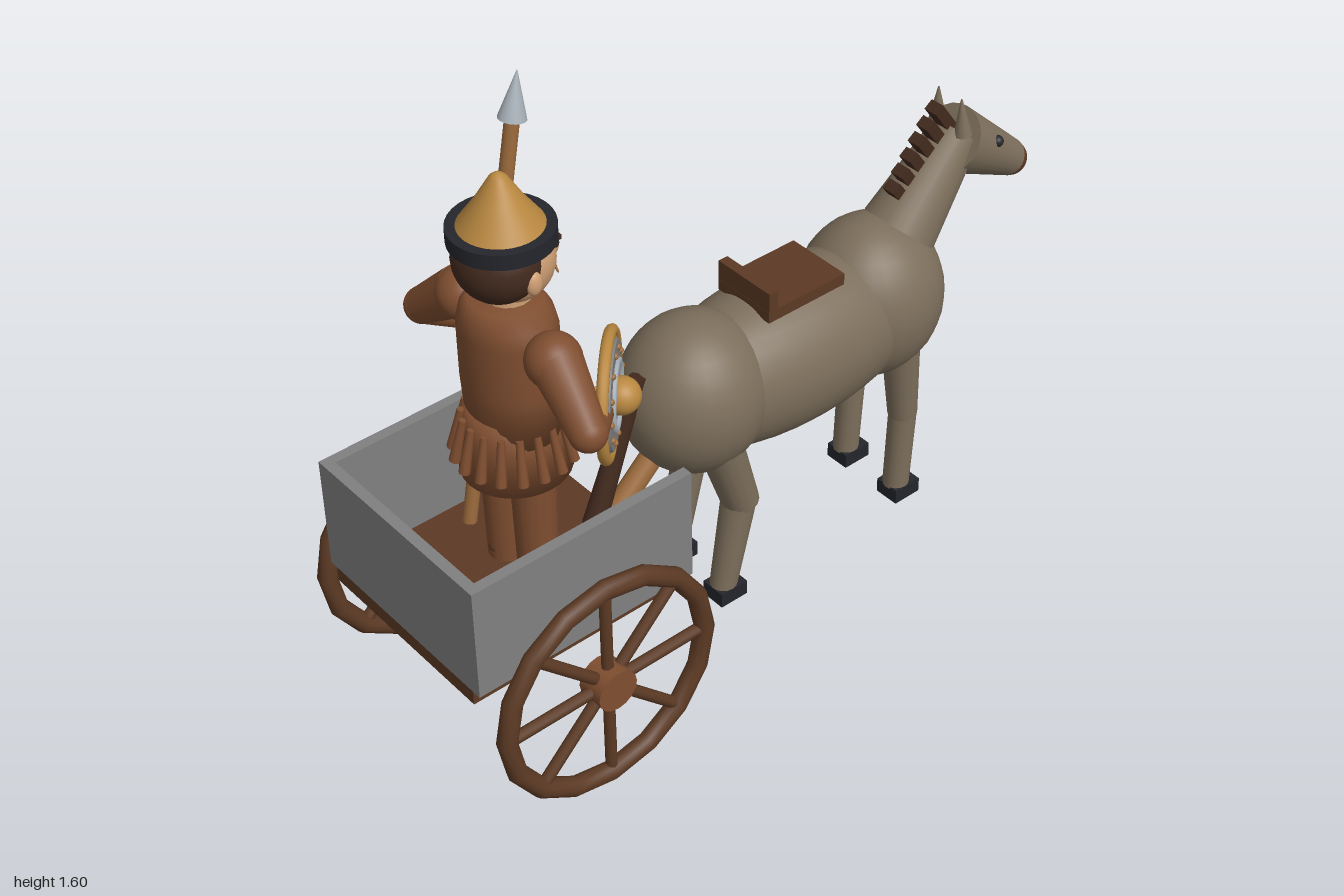
import * as THREE from 'three';

const mat = (name, color) => Object.assign(new THREE.MeshStandardMaterial({ color }), { name });
const M = {
  hide: mat('horse hide', 0x7c6e5b), wood: mat('dark wood', 0x5c3a24), tunic: mat('tunic brown', 0x7f4e30),
  grey: mat('cart grey', 0x808080), dark: mat('near black', 0x25262c), gold: mat('brass', 0xb98840),
  skin: mat('skin', 0xcf9f74), steel: mat('steel', 0xa9b2ba), pole: mat('pole wood', 0x9a6a3c),
  hair: mat('hair', 0x422a1e),
};
const V = (x, y, z) => new THREE.Vector3(x, y, z);

function add(parent, name, geo, m, x = 0, y = 0, z = 0) {
  const mesh = new THREE.Mesh(geo, m);
  mesh.name = name;
  mesh.position.set(x, y, z);
  parent.add(mesh);
  return mesh;
}
const box = (p, name, m, w, h, d, x, y, z) => add(p, name, new THREE.BoxGeometry(w, h, d), m, x, y, z);
function ball(p, name, m, x, y, z, rx, ry = rx, rz = rx) {
  const b = add(p, name, new THREE.SphereGeometry(1, 28, 18), m, x, y, z);
  b.scale.set(rx, ry, rz);
  return b;
}
// tapered rod from point a to point b
function rod(p, name, m, a, b, ra, rb = ra, sides = 16) {
  const d = b.clone().sub(a);
  const r = add(p, name, new THREE.CylinderGeometry(rb, ra, d.length(), sides), m);
  r.position.copy(a).addScaledVector(d, 0.5);
  r.quaternion.setFromUnitVectors(V(0, 1, 0), d.normalize());
  return r;
}
const lathe = (pts, n = 32) => new THREE.LatheGeometry(pts.map(([r, y]) => new THREE.Vector2(r, y)), n);
function group(parent, name) {
  const g = new THREE.Group();
  g.name = name;
  parent.add(g);
  return g;
}

function buildCart(root) {
  const g = group(root, 'cart');
  box(g, 'floor', M.wood, 0.62, 0.04, 0.54, -0.685, 0.41, 0);
  box(g, 'backWall', M.grey, 0.028, 0.31, 0.54, -0.981, 0.585, 0);
  for (const s of [1, -1]) {
    box(g, 'sideWall', M.grey, 0.62, 0.31, 0.028, -0.685, 0.585, s * 0.281);
    // wheel with eight spokes
    const w = group(g, 'wheel');
    w.position.set(-0.685, 0.323, s * 0.36);
    add(w, 'rim', new THREE.TorusGeometry(0.29, 0.025, 10, 16), M.wood);
    rod(w, 'hub', M.tunic, V(0, 0, -0.037), V(0, 0, 0.037), 0.055);
    for (let i = 0; i < 8; i++) {
      const a = i * Math.PI / 4, c = Math.cos(a), n = Math.sin(a);
      rod(w, 'spoke', M.wood, V(c * 0.04, n * 0.04, 0), V(c * 0.285, n * 0.285, 0), 0.015, 0.015, 10);
    }
  }
  rod(g, 'drawPole', M.pole, V(-0.4, 0.4, 0), V(-0.12, 0.66, 0), 0.03);
}

function buildHorse(root) {
  const g = group(root, 'horse');
  ball(g, 'rump', M.hide, -0.12, 0.672, 0, 0.195, 0.213, 0.185);
  ball(g, 'barrel', M.hide, 0.18, 0.662, 0, 0.46, 0.21, 0.19);
  ball(g, 'chest', M.hide, 0.462, 0.682, 0, 0.2, 0.223, 0.185);
  rod(g, 'neck', M.hide, V(0.56, 0.836, 0), V(0.75, 1.05, 0), 0.1, 0.065, 24);
  rod(g, 'head', M.hide, V(0.73, 1.035, 0), V(0.95, 0.885, 0), 0.09, 0.05, 24);
  ball(g, 'muzzle', M.wood, 0.953, 0.882, 0, 0.047);
  // mane tufts standing along the neck
  for (let i = 0; i < 6; i++) {
    const t = i / 5;
    const b = box(g, 'maneTuft', M.hair, 0.03, 0.095, 0.04, 0.555 + t * 0.135, 0.94 + t * 0.175, 0);
    b.rotation.z = 0.62;
  }
  rod(g, 'tail', M.hair, V(-0.29, 0.8, 0), V(-0.457, 0.37, 0), 0.02, 0.031);
  ball(g, 'tailEnd', M.hair, -0.457, 0.37, 0, 0.031);
  // saddle
  box(g, 'saddle', M.wood, 0.245, 0.032, 0.185, 0.163, 0.861, 0);
  box(g, 'saddleBack', M.wood, 0.028, 0.085, 0.185, 0.055, 0.888, 0);
  for (const s of [1, -1]) {
    const z = s * 0.097;
    ball(g, 'horseEye', M.dark, 0.84, 1.007, s * 0.058, 0.016);
    rod(g, 'ear', M.hide, V(0.725, 1.07, s * 0.045), V(0.718, 1.172, s * 0.04), 0.024, 0.002);
    // front leg
    rod(g, 'frontUpperLeg', M.hide, V(0.485, 0.6, z), V(0.507, 0.33, z), 0.052, 0.039);
    rod(g, 'frontLowerLeg', M.hide, V(0.508, 0.33, z), V(0.495, 0.095, z), 0.037, 0.035);
    // hind leg
    rod(g, 'hindUpperLeg', M.hide, V(-0.125, 0.58, z), V(-0.052, 0.345, z), 0.058, 0.048);
    rod(g, 'hindLowerLeg', M.hide, V(-0.06, 0.345, z), V(-0.11, 0.095, z), 0.045, 0.035);
    for (const x of [0.505, -0.103]) box(g, 'hoof', M.dark, 0.084, 0.042, 0.072, x, 0.081, z);
  }
}

function buildShield(root) {
  const g = group(root, 'shield');
  g.position.set(-0.525, 0.987, 0.195);
  g.rotation.y = Math.PI / 4;
  rod(g, 'shieldBack', M.gold, V(0, 0, -0.012), V(0, 0, 0.008), 0.15, 0.15, 36);
  add(g, 'shieldRim', new THREE.TorusGeometry(0.145, 0.014, 10, 36), M.gold);
  rod(g, 'shieldFace', M.grey, V(0, 0, 0.008), V(0, 0, 0.016), 0.13, 0.125, 36);
  add(g, 'innerRing', new THREE.TorusGeometry(0.078, 0.009, 8, 32), M.steel, 0, 0, 0.016);
  ball(g, 'boss', M.gold, 0, 0, 0.028, 0.045);
  for (let i = 0; i < 12; i++) {
    const a = i * Math.PI / 6;
    ball(g, 'rivet', M.pole, Math.cos(a) * 0.108, Math.sin(a) * 0.108, 0.016, 0.008);
  }
}

function buildDriver(root) {
  const g = group(root, 'driver'), X = -0.65;
  const torso = add(g, 'torso', lathe([[0.001, 0.86], [0.12, 0.86], [0.128, 1.0], [0.128, 1.14],
    [0.118, 1.18], [0.095, 1.212], [0.001, 1.215]]), M.tunic, X);
  torso.scale.x = 0.84;
  add(g, 'skirt', lathe([[0.001, 0.74], [0.132, 0.74], [0.118, 0.85], [0.108, 0.92], [0.001, 0.92]]), M.tunic, X);
  // hanging strips around the skirt
  for (let i = 0; i < 18; i++) {
    const a = i * Math.PI / 9, c = Math.cos(a), s = Math.sin(a);
    rod(g, 'skirtStrip', M.tunic, V(X + c * 0.144, 0.785, s * 0.144), V(X + c * 0.118, 0.895, s * 0.118), 0.014, 0.009, 8);
  }
  // head and hair
  rod(g, 'neckSkin', M.skin, V(-0.645, 1.18, 0), V(-0.64, 1.24, 0), 0.055);
  ball(g, 'face', M.skin, -0.625, 1.302, 0, 0.098, 0.102, 0.092);
  ball(g, 'hair', M.hair, -0.667, 1.32, 0, 0.098, 0.1, 0.107);
  ball(g, 'nose', M.skin, -0.525, 1.293, 0, 0.021, 0.032, 0.021);
  for (const s of [1, -1]) {
    ball(g, 'driverEye', M.dark, -0.546, 1.328, s * 0.042, 0.014);
    box(g, 'brow', M.hair, 0.014, 0.012, 0.04, -0.546, 1.352, s * 0.045);
    ball(g, 'driverEar', M.skin, -0.643, 1.295, s * 0.1, 0.02, 0.03, 0.014);
    rod(g, 'moustache', M.pole, V(-0.532, 1.268, s * 0.012), V(-0.545, 1.255, s * 0.055), 0.006, 0.002, 8);
    // legs and boots
    rod(g, 'leg', M.tunic, V(X, 0.43, s * 0.06), V(X, 0.76, s * 0.06), 0.048, 0.055);
    ball(g, 'boot', M.wood, X + 0.03, 0.46, s * 0.06, 0.08, 0.035, 0.045);
    // arms bent forward from wide elbows
    const elbow = V(-0.67, 1.025, s * 0.305), hand = V(-0.555, 0.99, s * 0.205);
    const wrist = elbow.clone().lerp(hand, 0.85);
    ball(g, 'shoulder', M.tunic, X, 1.13, s * 0.165, 0.066);
    rod(g, 'upperArm', M.tunic, V(X, 1.13, s * 0.175), elbow, 0.062, 0.045);
    ball(g, 'elbow', M.tunic, elbow.x, elbow.y, elbow.z, 0.045);
    rod(g, 'forearm', M.tunic, elbow, wrist, 0.045, 0.036);
    ball(g, 'hand', M.skin, hand.x, hand.y, hand.z, 0.036);
  }
  // pointed hat
  add(g, 'hatCone', lathe([[0.001, 1.37], [0.108, 1.385], [0.098, 1.405], [0.055, 1.465], [0.02, 1.523], [0.01, 1.531], [0.001, 1.532]]), M.gold, X);
  rod(g, 'hatBand', M.dark, V(X, 1.365, 0), V(X, 1.404, 0), 0.122, 0.122, 32);
  // spear
  rod(g, 'spearShaft', M.pole, V(-0.66, 0.43, -0.2), V(-0.462, 1.5, -0.2), 0.018);
  rod(g, 'spearHead', M.steel, V(-0.463, 1.495, -0.2), V(-0.442, 1.61, -0.2), 0.034, 0.001);
}

export function createModel() {
  const root = new THREE.Group();
  root.name = 'horseCart';
  buildCart(root);
  buildHorse(root);
  buildDriver(root);
  buildShield(root);
  return root;
}
